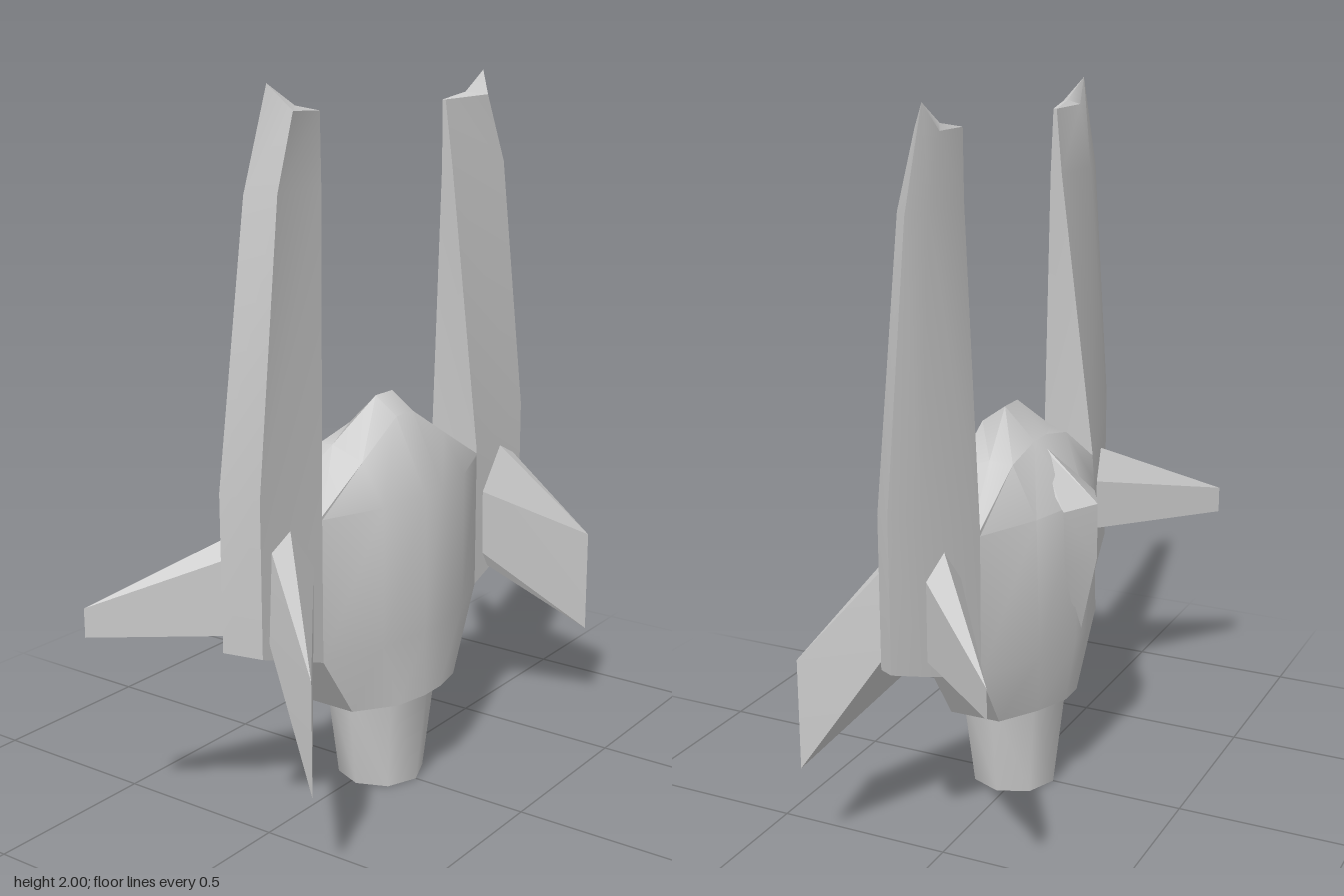
import * as THREE from 'three';
import { toCreasedNormals } from 'three/addons/utils/BufferGeometryUtils.js';

const material = new THREE.MeshStandardMaterial({ color: 0xcccccc });
const lerp = THREE.MathUtils.lerp;

// Closed solid skinned over equal-length rings of [x, y, z], capped at both ends
function loft(rings, crease = 0.6) {
  const tris = [];
  const n = rings[0].length;
  const add = (...pts) => {
    const [a, b, c] = pts.map((p) => new THREE.Vector3(...p));
    if (new THREE.Triangle(a, b, c).getArea() > 1e-7) tris.push([a, b, c]);
  };
  for (let r = 0; r < rings.length - 1; r++) {
    for (let i = 0; i < n; i++) {
      const j = (i + 1) % n;
      add(rings[r][i], rings[r][j], rings[r + 1][j]);
      add(rings[r][i], rings[r + 1][j], rings[r + 1][i]);
    }
  }
  const cap = (ring, flip) => {
    const mid = [0, 1, 2].map((k) => ring.reduce((s, p) => s + p[k], 0) / n);
    ring.forEach((p, i) => {
      const q = ring[(i + 1) % n];
      if (flip) add(mid, q, p);
      else add(mid, p, q);
    });
  };
  cap(rings[0], true);
  cap(rings[rings.length - 1], false);
  // Turn the faces outward whichever way the rings run
  const volume = tris.reduce((s, [a, b, c]) => s + a.dot(b.clone().cross(c)), 0);
  const points = tris.flatMap(([a, b, c]) => (volume < 0 ? [a, c, b] : [a, b, c]));
  return toCreasedNormals(new THREE.BufferGeometry().setFromPoints(points), crease);
}

function part(name, geometry) {
  const mesh = new THREE.Mesh(geometry, material);
  mesh.name = name;
  return mesh;
}

// Full ring from a half ring running front to back on the +x side
const mirrorRing = (half) => [...half, ...half.map(([x, y, z]) => [-x, y, z]).reverse()];

function body() {
  const level = (y, w, m, zs) =>
    mirrorRing([0.04, m, w, w, m, 0.04].map((x, i) => [x, y, zs[i]]));
  const ridge = [[0.04, 1.14, 0.03], [0.2, 1.03, 0], [0.38, 0.905, -0.04]];
  return loft([
    level(0.29, 0.25, 0.14, [0.2, 0.18, 0.1, -0.05, -0.12, -0.16]),
    level(0.48, 0.38, 0.2, [0.2, 0.17, 0.1, -0.06, -0.15, -0.19]),
    level(0.88, 0.38, 0.2, [0.2, 0.17, 0.1, -0.06, -0.14, -0.18]),
    mirrorRing([
      [0.04, 1.09, 0.1], [0.2, 0.995, 0.1], [0.38, 0.89, 0.1],
      [0.38, 0.895, -0.06], [0.18, 1.02, -0.06], [0.04, 1.05, -0.06],
    ]),
    mirrorRing([...ridge, ...[...ridge].reverse()]),
  ]);
}

// Faceted bulge on the back: [y, half width, ridge z, side z]
function canopy() {
  const rows = [
    [0.48, 0.005, -0.185, -0.18], [0.72, 0.11, -0.235, -0.185],
    [0.88, 0.11, -0.235, -0.18], [1.04, 0.005, -0.06, -0.05],
  ];
  return loft(rows.map(([y, w, zr, zs]) => [[0, y, zr], [w, y, zs], [0, y, zs + 0.04], [-w, y, zs]]), 0.5);
}

// Tall blade: [outer x, outer y, inner x, inner y, front z, back z, inner front z, inner back z]
function blade(side) {
  const rows = [
    [0.705, 0.6, 0.38, 0.48, 0.1, -0.01, 0.1, -0.06],
    [0.705, 1.02, 0.38, 0.9, 0.1, -0.01, 0.1, -0.06],
    [0.59, 1.74, 0.306, 1.74, 0.085, 0.01, 0.05, 0.015],
    [0.495, 2.0, 0.29, 1.925, 0.075, 0.015, 0.035, 0.025],
  ];
  return loft(rows.map(([xo, yo, xi, yi, zf, zb, zfi, zbi]) => {
    const at = (t, z, drop = 0) => [side * lerp(xo, xi, t), lerp(yo, yi, t) - drop, z];
    const drop = yo > 1.9 ? 0.05 : 0;
    return [at(0, 0.03), at(0.22, zf, drop), at(1, zfi), at(1, zbi), at(0.3, zb, drop)];
  }));
}

// Fin tapering from a faceted root outline to a sharp upright edge
function fin(side, root, zRoot, tip, tipX, tipZ) {
  const base = root.map(([x, y]) => [side * x, y, zRoot]);
  const edge = root.map((p, i) => [side * tipX, tip[i], tipZ]);
  return loft([base, edge], 0.3);
}

// Open tapered eight-sided exhaust with a thin wall
function nozzle() {
  const profile = [[0.145, 0.31], [0.108, 0], [0.125, 0], [0.163, 0.31]]
    .map(([r, y]) => new THREE.Vector2(r, y));
  const geometry = new THREE.LatheGeometry(profile, 8);
  return toCreasedNormals(geometry, 0.9).translate(0, 0, 0.02);
}

export function createModel() {
  const group = new THREE.Group();
  group.add(part('body', body()), part('canopy', canopy()), part('nozzle', nozzle()));

  const frontRoot = [[0.505, 0.9], [0.405, 0.77], [0.41, 0.58], [0.44, 0.53], [0.6, 0.62], [0.585, 0.86]];
  const frontTip = [0.59, 0.59, 0.28, 0.28, 0.28, 0.59];
  const rearRoot = [[0.5, 0.89], [0.41, 0.8], [0.41, 0.64], [0.59, 0.6], [0.59, 0.82]];
  const rearTip = [0.69, 0.69, 0.61, 0.61, 0.69];

  for (const side of [1, -1]) {
    const label = side > 0 ? 'left' : 'right';
    group.add(
      part(label + 'Blade', blade(side)),
      part(label + 'FrontFin', fin(side, frontRoot, 0.09, frontTip, 0.705, 0.31)),
      part(label + 'RearFin', fin(side, rearRoot, -0.01, rearTip, 0.85, -0.31)),
    );
  }
  return group;
}
